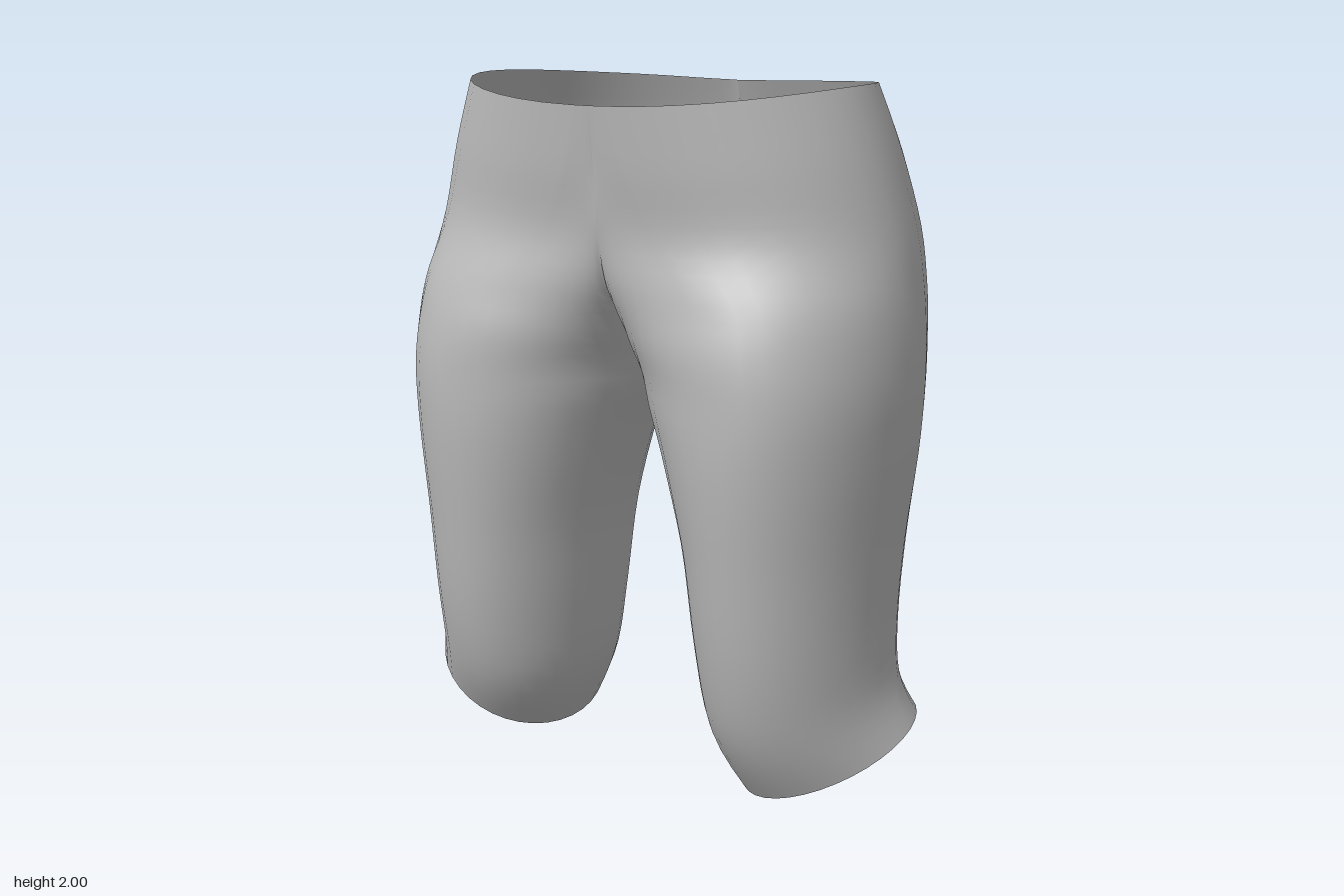
import * as THREE from 'three';
import { mergeVertices } from 'three/addons/utils/BufferGeometryUtils.js';

// Cross-sections of one half, waist to hem:
// [y, innerX, outerX, outerZ, frontPeakX, frontZ, backPeakX, backZ, innerFrontZ, innerBackZ]
const HIPS = [
  [1.95, 0, 0.6, 0.03, 0.05, 0.44, 0.18, -0.39, 0.44, -0.38],
  [1.78, 0, 0.665, 0.02, 0.1, 0.425, 0.2, -0.46, 0.42, -0.42],
  [1.6, 0, 0.72, 0, 0.2, 0.405, 0.22, -0.485, 0.405, -0.41],
  [1.45, 0, 0.75, 0, 0.36, 0.44, 0.25, -0.44, 0.345, -0.35],
  [1.32, 0, 0.765, 0, 0.4, 0.475, 0.3, -0.36, 0.2, -0.2],
];
const LEGS = [
  [1.18, 0, 0.77, 0, 0.43, 0.487, 0.36, -0.29, 0.03, 0.03],
  [1.0, 0.065, 0.76, 0, 0.43, 0.487, 0.42, -0.24, 0.03, 0.03],
  [0.75, 0.135, 0.735, 0.02, 0.43, 0.465, 0.44, -0.225, 0.03, 0.03],
  [0.5, 0.17, 0.725, 0.03, 0.44, 0.43, 0.45, -0.195, 0.03, 0.03],
  [0.3, 0.205, 0.735, 0.03, 0.46, 0.37, 0.47, -0.185, 0.03, 0.03],
  [0.118, 0.285, 0.785, 0.02, 0.53, 0.27, 0.52, -0.225, 0.02, 0.02],
];
const CROTCH_Y = 1.18;
const STEPS = 4; // rows between cross-sections
const ARC = 9; // points in each quarter of a ring

function catmull(a, b, c, d, t) {
  return 0.5 * (2 * b + (c - a) * t + (2 * a - 5 * b + 4 * c - d) * t * t + (3 * b - a - 3 * c + d) * t ** 3);
}

// Smoothly fill in rows between the cross-sections
function smoothRows(keys) {
  const rows = [];
  const key = (i) => keys[Math.min(Math.max(i, 0), keys.length - 1)];
  for (let i = 0; i < keys.length - 1; i++) {
    for (let s = 0; s < STEPS; s++) {
      rows.push(key(i).map((v, k) => catmull(key(i - 1)[k], v, key(i + 1)[k], key(i + 2)[k], s / STEPS)));
    }
  }
  rows.push(keys[keys.length - 1]);
  return rows;
}

// Ring from inner front, round the outside, to inner back
function ring([y, xi, xo, zo, fx, zf, bx, zb, zif, zib]) {
  const inner = Math.max(xi, 0);
  if (y <= CROTCH_Y + 1e-6) zif = zib = (zif + zib) / 2; // legs are closed tubes
  const pts = [];
  const quarter = (cx, cz, rx, rz, from, to) => {
    for (let i = 0; i < ARC; i++) {
      const a = from + ((to - from) * i) / ARC;
      pts.push([cx + rx * Math.cos(a), cz + rz * Math.sin(a)]);
    }
  };
  const H = Math.PI / 2;
  quarter(fx, zif, fx - inner, zf - zif, 2 * H, H);
  quarter(fx, zo, xo - fx, zf - zo, H, 0);
  quarter(bx, zo, xo - bx, zo - zb, 0, -H);
  quarter(bx, zib, bx - inner, zib - zb, -H, -2 * H);
  pts.push([inner, zib]);
  pts[0] = [inner, zif];
  return pts;
}

// Dip the waistline and tilt the hems
function bendY(x, y, z, side) {
  const top = Math.max(0, (y - 1.5) / 0.45);
  const hem = Math.max(0, (0.75 - y) / 0.632) ** 1.5;
  const across = Math.min(1, (x / 0.6) ** 2);
  const waist = 0.05 * across + 0.02 * Math.max(0, -z / 0.39) * (1 - across);
  const tilt = 0.38 * (x - 0.535) - 0.28 * (z - 0.02) + (side < 0 ? 0.045 : 0);
  return y + top * waist + hem * tilt;
}

function shortsGeometry() {
  const rows = smoothRows([...HIPS, ...LEGS]);
  const n = 4 * ARC + 1;
  const positions = [];
  const index = [];
  for (const side of [1, -1]) {
    const start = positions.length / 3;
    rows.forEach((row, r) => {
      ring(row).forEach(([x, z], i) => {
        positions.push(side * x, bendY(x, row[0], z, side), z);
        if (r === rows.length - 1 || i === n - 1) return;
        const a = start + r * n + i, b = a + 1, c = a + n, d = c + 1;
        if (side > 0) index.push(a, c, b, b, c, d);
        else index.push(a, b, c, b, d, c);
      });
    });
  }
  const geo = new THREE.BufferGeometry();
  geo.setAttribute('position', new THREE.Float32BufferAttribute(positions, 3));
  geo.setIndex(index);
  const welded = mergeVertices(geo, 1e-4); // join the centre and inner leg seams
  welded.computeVertexNormals();
  return welded;
}

export function createModel() {
  const group = new THREE.Group();
  group.name = 'shorts';
  const cloth = new THREE.MeshStandardMaterial({ color: 0xb8b8b8, side: THREE.DoubleSide });
  cloth.name = 'grey cloth';
  const mesh = new THREE.Mesh(shortsGeometry(), cloth);
  mesh.name = 'shortsCloth';
  group.add(mesh);
  return group;
}
